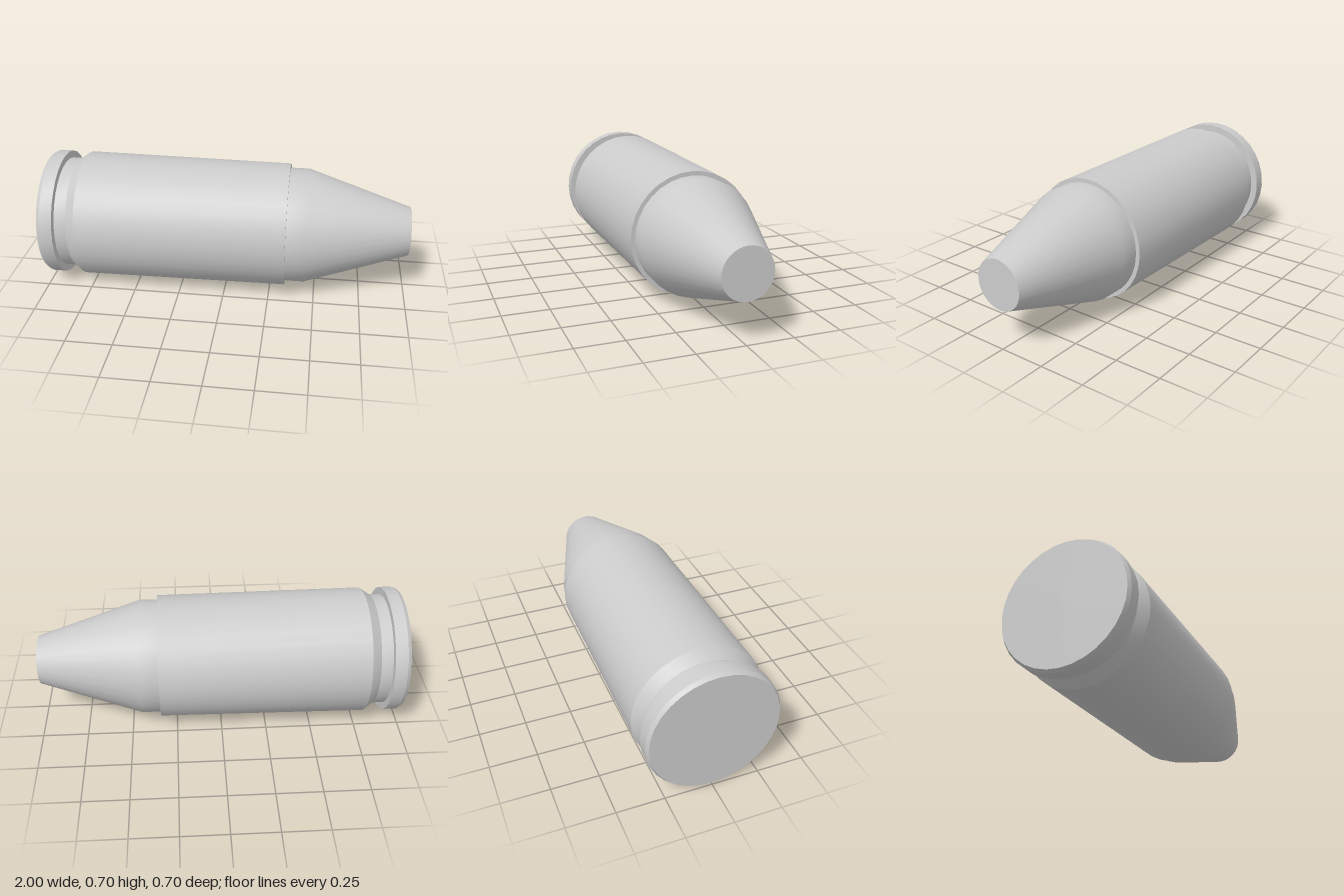
import * as THREE from 'three';
import { toCreasedNormals } from 'three/addons/utils/BufferGeometryUtils.js';

const SEGMENTS = 32;
const AXIS_HEIGHT = 0.348;

// Turn a profile of [x, radius] pairs around the long (x) axis
function turned(name, profile, material) {
  const points = profile.map(([x, r]) => new THREE.Vector2(r, x));
  const lathe = new THREE.LatheGeometry(points, SEGMENTS);
  lathe.rotateZ(-Math.PI / 2);
  const mesh = new THREE.Mesh(toCreasedNormals(lathe, THREE.MathUtils.degToRad(25)), material);
  mesh.name = name;
  mesh.position.y = AXIS_HEIGHT;
  return mesh;
}

export function createModel() {
  const group = new THREE.Group();
  group.name = 'cartridge';
  const material = new THREE.MeshStandardMaterial({ color: 0xcccccc });

  // Case: flat base, chamfered rim, extractor groove, slightly tapered wall, mouth
  group.add(turned('case', [
    [-1, 0], [-1, 0.335], [-0.98, 0.347], [-0.912, 0.347],
    [-0.912, 0.308], [-0.848, 0.308],
    [-0.793, 0.348], [0.337, 0.338], [0.337, 0.314],
  ], material));

  // Bullet: short cylindrical shank, then a cone with a flat tip
  group.add(turned('bullet', [
    [0.337, 0.315], [0.44, 0.315], [1, 0.134], [1, 0],
  ], material));

  return group;
}
